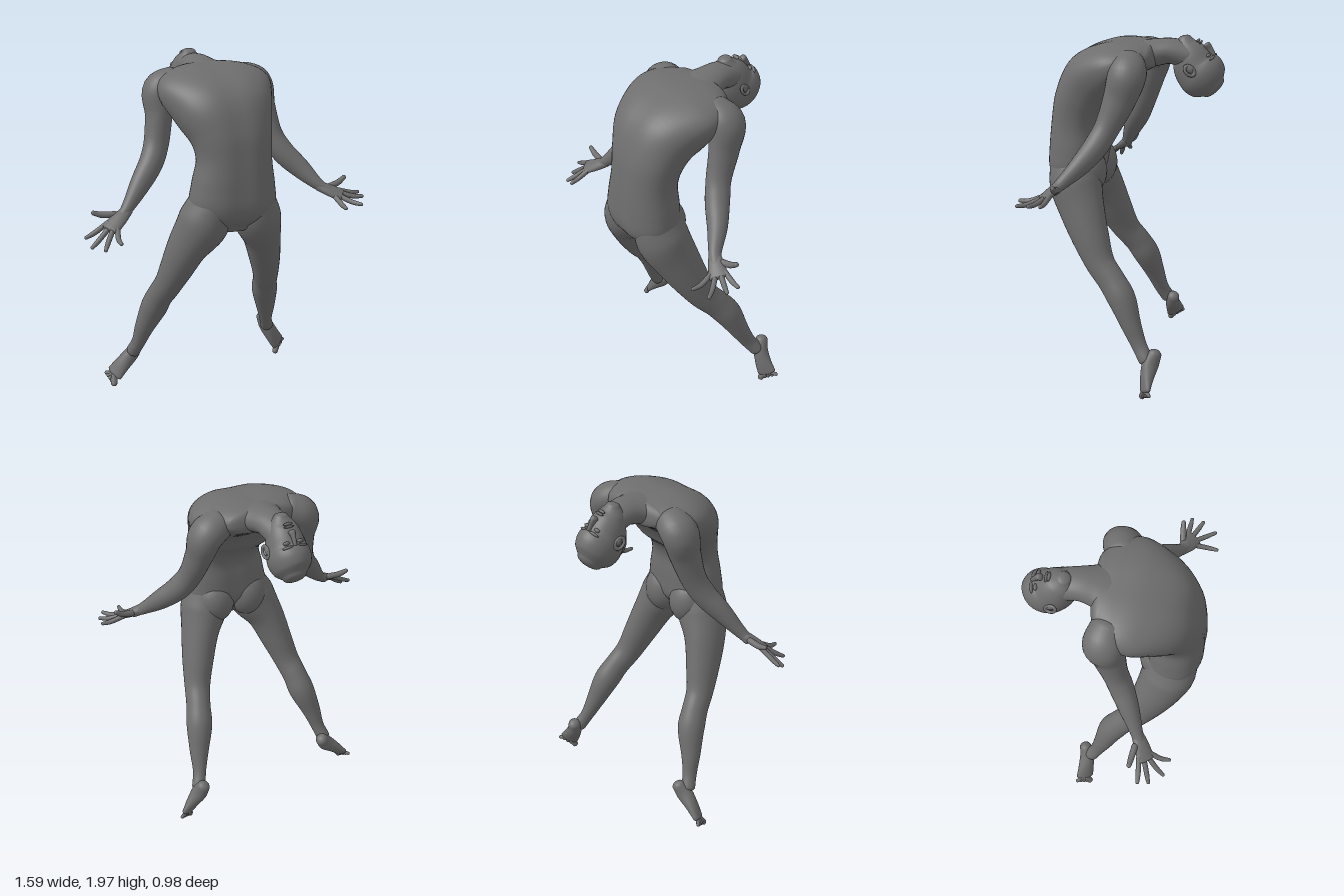
import * as THREE from 'three';
import { mergeVertices } from 'three/addons/utils/BufferGeometryUtils.js';

const V = (p) => new THREE.Vector3(p[0], p[1], p[2]);

// Smooth closed tube through sections [x, y, z, halfWidth, halfDepth]; "side" is the width direction.
function loft(sections, side, { steps = 6, sides = 28, cap = 0.6, power = 1, groove = 0 } = {}) {
  const path = new THREE.CatmullRomCurve3(sections.map(V));
  const size = new THREE.CatmullRomCurve3(sections.map((s) => new THREE.Vector3(s[3], s[4], 0)), false, 'catmullrom', 0.5);
  const n = (sections.length - 1) * steps;
  const rings = [];
  const capSteps = 5;
  for (let k = 0; k < capSteps; k++) rings.push([0, Math.PI / 2 * (k / capSteps - 1)]);
  for (let k = 0; k <= n; k++) rings.push([k / n, 0]);
  for (let k = 1; k <= capSteps; k++) rings.push([1, Math.PI / 2 * k / capSteps]);

  const pos = [], index = [];
  rings.forEach(([t, bend], i) => {
    const T = path.getTangent(t);
    const S = V(side).addScaledVector(T, -V(side).dot(T)).normalize();
    const N = new THREE.Vector3().crossVectors(S, T);
    const r = size.getPoint(t);
    const c = path.getPoint(t).addScaledVector(T, Math.sin(bend) * Math.min(r.x, r.y) * cap);
    for (let j = 0; j < sides; j++) {
      const a = j / sides * Math.PI * 2;
      const cs = Math.cos(a), sn = Math.sin(a);
      const dent = 1 - groove * Math.exp(-((cs / 0.2) ** 2));
      const u = Math.sign(cs) * Math.abs(cs) ** power * r.x * Math.cos(bend);
      const v = Math.sign(sn) * Math.abs(sn) ** power * r.y * Math.cos(bend) * dent;
      const p = c.clone().addScaledVector(S, u).addScaledVector(N, v);
      pos.push(p.x, p.y, p.z);
      if (i < rings.length - 1) {
        const q = i * sides + j, w = i * sides + (j + 1) % sides;
        index.push(q, w + sides, w, q, q + sides, w + sides);
      }
    }
  });
  let g = new THREE.BufferGeometry();
  g.setAttribute('position', new THREE.Float32BufferAttribute(pos, 3));
  g.setIndex(index);
  g = mergeVertices(g, 1e-5);
  g.computeVertexNormals();
  return g;
}

export function createModel() {
  const model = new THREE.Group();
  model.name = 'figure';
  const skin = new THREE.MeshStandardMaterial({ color: 0x6e6e6e });
  skin.name = 'grey';

  const add = (parent, name, geometry) => {
    const m = new THREE.Mesh(geometry, skin);
    m.name = name;
    parent.add(m);
    return m;
  };
  const group = (name) => {
    const g = new THREE.Group();
    g.name = name;
    model.add(g);
    return g;
  };
  const ball = (parent, name, p, r) => {
    const m = add(parent, name, new THREE.SphereGeometry(1, 24, 16));
    m.position.set(...p);
    m.scale.set(...r);
    return m;
  };
  const lerp = (a, b, t) => a.map((v, i) => v + (b[i] - v) * t);
  const sub = (a, b) => a.map((v, i) => v - b[i]);

  // Torso arching backwards, with a shallow spine and breastbone groove
  add(model, 'torso', loft([
    [0.01, 1.13, 0.31, 0.13, 0.11],
    [0.01, 1.21, 0.32, 0.235, 0.16],
    [0.015, 1.34, 0.32, 0.23, 0.16],
    [0.02, 1.48, 0.315, 0.207, 0.15],
    [0.015, 1.60, 0.285, 0.225, 0.162],
    [0, 1.72, 0.21, 0.275, 0.18],
    [-0.01, 1.81, 0.09, 0.32, 0.14],
    [-0.015, 1.85, -0.02, 0.29, 0.098],
    [-0.02, 1.865, -0.1, 0.2, 0.07],
  ], [1, 0, 0], { sides: 48, power: 0.88, groove: 0.05, cap: 0.5 }));
  for (const s of [-1, 1]) ball(model, 'buttock', [0.01 + s * 0.1, 1.2, 0.25], [0.115, 0.14, 0.115]);

  // Neck
  add(model, 'neck', loft([
    [-0.015, 1.86, -0.03, 0.16, 0.075],
    [-0.02, 1.875, -0.12, 0.115, 0.074],
    [-0.027, 1.885, -0.2, 0.092, 0.07],
    [-0.04, 1.86, -0.31, 0.085, 0.075],
  ], [1, 0, 0]));

  // Head thrown back: local y points to the crown, local z to the face
  const head = group('head');
  head.position.set(-0.045, 1.8, -0.335);
  head.rotation.x = -2.292;
  add(head, 'skull', loft([
    [0, -0.15, 0.075, 0.038, 0.036],
    [0, -0.115, 0.05, 0.07, 0.074],
    [0, -0.06, 0.025, 0.093, 0.102],
    [0, 0, 0.0, 0.105, 0.125],
    [0, 0.06, -0.006, 0.113, 0.135],
    [0, 0.115, -0.01, 0.098, 0.117],
    [0, 0.15, -0.012, 0.065, 0.075],
  ], [1, 0, 0], { sides: 40, cap: 0.45 }));
  add(head, 'nose', loft([
    [0, 0.03, 0.122, 0.01, 0.01],
    [0, -0.01, 0.13, 0.012, 0.018],
    [0, -0.035, 0.134, 0.02, 0.02],
  ], [1, 0, 0], { sides: 16 }));
  ball(head, 'upperLip', [0, -0.07, 0.122], [0.03, 0.007, 0.01]);
  ball(head, 'lowerLip', [0, -0.086, 0.119], [0.026, 0.008, 0.01]);
  for (const s of [-1, 1]) {
    ball(head, 'brow', [s * 0.04, 0.035, 0.114], [0.03, 0.008, 0.012]).rotation.y = s * 0.35;
    ball(head, 'eye', [s * 0.038, 0.01, 0.108], [0.019, 0.01, 0.013]);
    const ear = add(head, 'ear', new THREE.TorusGeometry(0.022, 0.008, 10, 20));
    ear.position.set(s * 0.112, -0.005, -0.005);
    ear.rotation.y = Math.PI / 2 - s * 0.4;
    ear.scale.y = 1.4;
    ball(head, 'innerEar', [s * 0.107, -0.01, 0], [0.01, 0.026, 0.018]);
  }

  // Arms, each with palm, thumb and four fingers given as [base, tip]
  const makeArm = (name, sections, wrist, thumb, fingers) => {
    const arm = group(name);
    add(arm, 'arm', loft(sections, [0, 0, 1]));
    const across = sub(fingers[0][0], fingers[3][0]);
    const knuckles = lerp(lerp(fingers[0][0], fingers[3][0], 0.5), lerp(fingers[1][0], fingers[2][0], 0.5), 0.5);
    add(arm, 'palm', loft([
      [...lerp(wrist, knuckles, -0.15), 0.03, 0.026],
      [...lerp(wrist, knuckles, 0.35), 0.044, 0.025],
      [...lerp(wrist, knuckles, 0.95), 0.052, 0.018],
    ], across, { sides: 20 }));
    [thumb, ...fingers].forEach(([base, tip], i) => {
      const r = i === 0 ? 0.018 : 0.0145;
      const mid = lerp(base, tip, 0.5);
      mid[1] -= 0.006;
      add(arm, i ? 'finger' : 'thumb', loft([
        [...lerp(base, wrist, 0.2), r, r], [...mid, r * 0.95, r * 0.95], [...lerp(base, tip, 0.93), r * 0.7, r * 0.7],
      ], across, { sides: 12, steps: 4, cap: 0.9 }));
    });
  };
  makeArm('leftArm', [
    [0.19, 1.845, -0.02, 0.09, 0.085],
    [0.272, 1.80, -0.035, 0.105, 0.09],
    [0.302, 1.67, 0, 0.09, 0.07],
    [0.335, 1.52, 0.06, 0.07, 0.064],
    [0.385, 1.43, 0.105, 0.067, 0.065],
    [0.47, 1.34, 0.17, 0.054, 0.056],
    [0.555, 1.255, 0.25, 0.034, 0.032],
    [0.60, 1.23, 0.275, 0.032, 0.026],
  ], [0.565, 1.245, 0.26], [[0.63, 1.24, 0.25], [0.72, 1.285, 0.235]], [
    [[0.69, 1.215, 0.275], [0.79, 1.20, 0.28]],
    [[0.685, 1.205, 0.305], [0.785, 1.195, 0.35]],
    [[0.665, 1.195, 0.33], [0.74, 1.175, 0.435]],
    [[0.635, 1.19, 0.345], [0.63, 1.17, 0.46]],
  ]);
  makeArm('rightArm', [
    [-0.21, 1.845, -0.02, 0.09, 0.085],
    [-0.292, 1.80, -0.03, 0.105, 0.092],
    [-0.307, 1.67, 0, 0.09, 0.075],
    [-0.335, 1.52, 0.04, 0.07, 0.07],
    [-0.375, 1.43, 0.08, 0.067, 0.067],
    [-0.45, 1.335, 0.135, 0.056, 0.058],
    [-0.55, 1.215, 0.2, 0.034, 0.033],
    [-0.59, 1.18, 0.22, 0.032, 0.026],
  ], [-0.56, 1.2, 0.21], [[-0.63, 1.19, 0.2], [-0.74, 1.21, 0.19]], [
    [[-0.69, 1.15, 0.24], [-0.795, 1.09, 0.25]],
    [[-0.68, 1.135, 0.27], [-0.775, 1.05, 0.31]],
    [[-0.665, 1.125, 0.295], [-0.715, 1.055, 0.385]],
    [[-0.64, 1.125, 0.305], [-0.63, 1.09, 0.405]],
  ]);

  // Legs, each with a pointed foot and five toes between bigToe and littleToe
  const makeLeg = (name, sections, foot, bigToe, littleToe) => {
    const leg = group(name);
    const across = sub(littleToe, bigToe);
    add(leg, 'leg', loft(sections, [1, 0, 0], { sides: 36 }));
    add(leg, 'foot', loft(foot, across, { cap: 0.8 }));
    const ballOfFoot = foot[foot.length - 1];
    for (let i = 0; i < 5; i++) {
      const tip = lerp(bigToe, littleToe, i / 4);
      const r = i === 0 ? 0.02 : 0.015 - i * 0.0007;
      const root = lerp(tip, lerp(tip, ballOfFoot.slice(0, 3), 0.8), 0.9);
      add(leg, 'toe', loft([
        [...root, r, r], [...lerp(root, tip, 0.5), r * 0.9, r * 0.9], [...tip, r * 0.95, r * 0.85],
      ], across, { sides: 12, steps: 3, cap: 0.9 }));
    }
  };
  makeLeg('leftLeg', [
    [0.13, 1.24, 0.32, 0.12, 0.14],
    [0.16, 1.13, 0.3, 0.135, 0.15],
    [0.21, 1.0, 0.25, 0.107, 0.132],
    [0.255, 0.85, 0.185, 0.09, 0.108],
    [0.29, 0.72, 0.12, 0.075, 0.085],
    [0.318, 0.63, 0.045, 0.07, 0.08],
    [0.342, 0.54, -0.02, 0.075, 0.08],
    [0.375, 0.4, -0.085, 0.056, 0.058],
    [0.4, 0.29, -0.14, 0.038, 0.044],
    [0.425, 0.22, -0.185, 0.04, 0.042],
  ], [
    [0.415, 0.255, -0.235, 0.036, 0.038],
    [0.435, 0.2, -0.215, 0.042, 0.048],
    [0.475, 0.13, -0.205, 0.05, 0.036],
    [0.51, 0.075, -0.205, 0.057, 0.022],
  ], [0.487, 0.022, -0.18], [0.56, 0.07, -0.24]);
  makeLeg('rightLeg', [
    [-0.11, 1.24, 0.32, 0.12, 0.14],
    [-0.15, 1.13, 0.305, 0.14, 0.15],
    [-0.22, 1.0, 0.26, 0.108, 0.132],
    [-0.27, 0.85, 0.2, 0.09, 0.108],
    [-0.31, 0.72, 0.14, 0.075, 0.085],
    [-0.338, 0.63, 0.075, 0.072, 0.08],
    [-0.362, 0.54, 0.025, 0.076, 0.08],
    [-0.41, 0.4, -0.02, 0.056, 0.058],
    [-0.44, 0.29, -0.055, 0.04, 0.044],
    [-0.465, 0.22, -0.09, 0.04, 0.042],
  ], [
    [-0.43, 0.235, -0.135, 0.036, 0.038],
    [-0.465, 0.19, -0.12, 0.042, 0.048],
    [-0.525, 0.13, -0.115, 0.05, 0.036],
    [-0.575, 0.075, -0.115, 0.057, 0.022],
  ], [-0.59, 0.022, -0.08], [-0.62, 0.065, -0.155]);

  return model;
}
